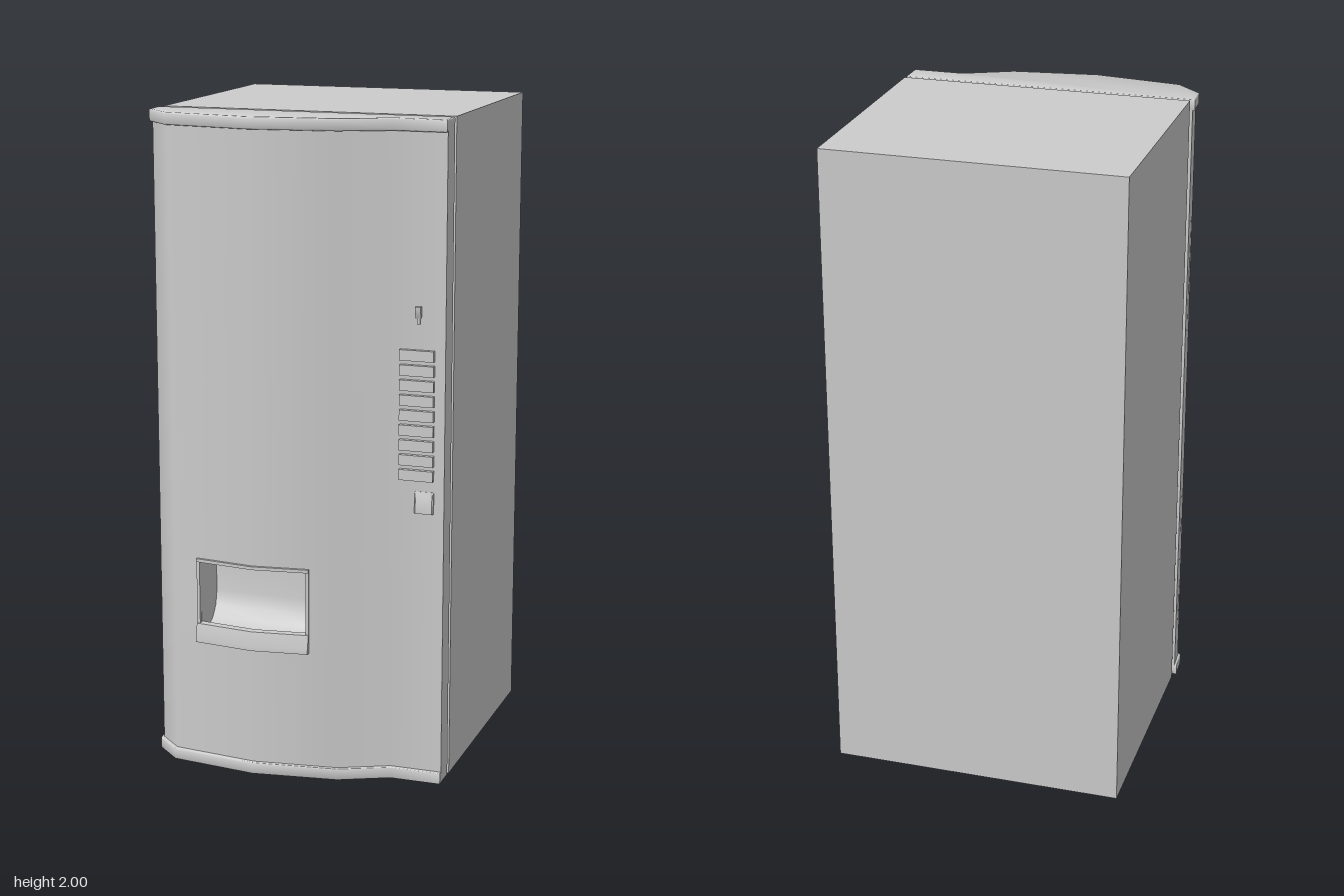
import * as THREE from 'three';
import { toCreasedNormals } from 'three/addons/utils/BufferGeometryUtils.js';

const grey = new THREE.MeshStandardMaterial({ color: 0xcccccc });
const greyBoth = new THREE.MeshStandardMaterial({ color: 0xcccccc, side: THREE.DoubleSide });

// door outline seen from above, as x and z
const DOOR = [[-0.452, 0.29], [-0.447, 0.36], [-0.374, 0.428], [-0.108, 0.461], [0.15, 0.428], [0.298, 0.36], [0.457, 0.36]];
const CAP = [[-0.459, 0.29], [-0.455, 0.366], [-0.378, 0.438], [-0.108, 0.473], [0.153, 0.438], [0.3, 0.37], [0.457, 0.37], [0.457, 0.29]];

function mesh(group, name, geometry, material = grey) {
  const m = new THREE.Mesh(geometry, material);
  m.name = name;
  group.add(m);
  return m;
}

function box(group, name, x0, x1, y0, y1, z0, z1) {
  const m = mesh(group, name, new THREE.BoxGeometry(x1 - x0, y1 - y0, z1 - z0));
  m.position.set((x0 + x1) / 2, (y0 + y1) / 2, (z0 + z1) / 2);
  return m;
}

// smoothed normal (x, z) of the door outline at each of its points
const edgeNormals = DOOR.slice(1).map(([x, z], i) =>
  new THREE.Vector2(DOOR[i][1] - z, x - DOOR[i][0]).normalize());
const pointNormals = DOOR.map((_, i) => {
  const a = edgeNormals[Math.max(i - 1, 0)];
  const b = edgeNormals[Math.min(i, edgeNormals.length - 1)];
  return a.clone().add(b).normalize();
});

// depth and normal of the door front at x
function doorAt(x) {
  let i = 0;
  while (i < DOOR.length - 2 && x > DOOR[i + 1][0]) i++;
  const t = (x - DOOR[i][0]) / (DOOR[i + 1][0] - DOOR[i][0]);
  const z = THREE.MathUtils.lerp(DOOR[i][1], DOOR[i + 1][1], t);
  return { z, n: pointNormals[i].clone().lerp(pointNormals[i + 1], t).normalize() };
}
const front = (x) => doorAt(x).z;

// smooth piece of the curved door front
function doorPanel(x0, x1, y0, y1) {
  const xs = [x0, ...DOOR.map((p) => p[0]).filter((x) => x > x0 && x < x1), x1];
  const pos = [], nor = [], idx = [];
  xs.forEach((x, i) => {
    const { z, n } = doorAt(x);
    pos.push(x, y0, z, x, y1, z);
    nor.push(n.x, 0, n.y, n.x, 0, n.y);
    const a = 2 * i;
    if (i < xs.length - 1) idx.push(a, a + 2, a + 3, a, a + 3, a + 1);
  });
  const g = new THREE.BufferGeometry();
  g.setAttribute('position', new THREE.Float32BufferAttribute(pos, 3));
  g.setAttribute('normal', new THREE.Float32BufferAttribute(nor, 3));
  g.setIndex(idx);
  return g;
}

// joins convex (y, z) sections along x and closes both ends
function sweep(xs, section, closed = true) {
  const rings = xs.map((x) => section(x).map(([y, z]) => [x, y, z]));
  const count = rings[0].length;
  const pos = [];
  const tri = (a, b, c) => pos.push(...a, ...b, ...c);
  for (let k = 0; k < rings.length - 1; k++) {
    const p = rings[k], q = rings[k + 1];
    for (let i = 0; i < (closed ? count : count - 1); i++) {
      const j = (i + 1) % count;
      tri(p[i], p[j], q[j]);
      tri(p[i], q[j], q[i]);
    }
  }
  const s = rings[0], e = rings[rings.length - 1];
  for (let i = 1; i < count - 1; i++) {
    tri(s[0], s[i + 1], s[i]);
    tri(e[0], e[i], e[i + 1]);
  }
  const g = new THREE.BufferGeometry();
  g.setAttribute('position', new THREE.Float32BufferAttribute(pos, 3));
  g.computeVertexNormals();
  return toCreasedNormals(g, 0.65);
}

// horizontal slab with the cap outline and softened edges
function capGeometry(height) {
  const bevel = 0.004;
  const shape = new THREE.Shape(CAP.map(([x, z]) => new THREE.Vector2(x, -z)));
  const g = new THREE.ExtrudeGeometry(shape, {
    depth: height - 2 * bevel, bevelEnabled: true, bevelSize: bevel,
    bevelThickness: bevel, bevelOffset: -bevel, bevelSegments: 2,
  });
  g.rotateX(-Math.PI / 2).translate(0, bevel, 0);
  return toCreasedNormals(g, 0.8);
}

export function createModel() {
  const model = new THREE.Group();
  model.name = 'vendingMachine';

  // cabinet and the recessed seal behind the door
  box(model, 'cabinet', -0.447, 0.457, 0, 2, -0.483, 0.273);
  box(model, 'doorSeal', -0.44, 0.45, 0.015, 1.985, 0.27, 0.292);

  // door skin around the delivery opening
  const door = new THREE.Group();
  door.name = 'door';
  model.add(door);
  const L = DOOR[0][0], R = 0.457, ox0 = -0.285, ox1 = 0.055, oy0 = 0.42, oy1 = 0.65;
  mesh(door, 'doorLower', doorPanel(L, R, 0.03, oy0));
  mesh(door, 'doorUpper', doorPanel(L, R, oy1, 1.97));
  mesh(door, 'doorBesideOpeningRight', doorPanel(L, ox0, oy0, oy1));
  mesh(door, 'doorBesideOpeningLeft', doorPanel(ox1, R, oy0, oy1));
  const edge = mesh(door, 'doorEdge', new THREE.PlaneGeometry(0.07, 1.98), greyBoth);
  edge.rotation.y = Math.PI / 2;
  edge.position.set(R, 1, 0.325);
  const back = mesh(door, 'doorBack', new THREE.PlaneGeometry(R - L, 1.98), greyBoth);
  back.position.set((L + R) / 2, 1, 0.2905);

  // top and bottom caps
  mesh(door, 'bottomCap', capGeometry(0.037));
  mesh(door, 'topCap', capGeometry(0.037)).position.y = 1.963;

  // delivery opening: hollow, lip and thin frame
  const tray = new THREE.Group();
  tray.name = 'deliveryTray';
  model.add(tray);
  const mid = -0.108;
  mesh(tray, 'trayHollow', sweep([ox0, mid, ox1], (x) => [
    [oy1, front(x)], [oy1, 0.305], [0.52, 0.305], [0.475, 0.315], [0.443, 0.34],
    [0.425, 0.375], [0.42, front(x) - 0.025], [0.455, front(x) - 0.015],
  ], false), greyBoth);
  const outer = [-0.295, mid, 0.065];
  mesh(tray, 'trayLip', sweep(outer, (x) => [
    [0.455, front(x) - 0.018], [0.455, front(x) + 0.008], [0.41, front(x) + 0.018],
    [0.398, front(x) + 0.018], [0.398, front(x) - 0.018],
  ]));
  const bar = (y0, y1, d) => (x) => [
    [y1, front(x) - 0.01], [y1, front(x) + d], [y0, front(x) + d], [y0, front(x) - 0.01],
  ];
  mesh(tray, 'frameTop', sweep(outer, bar(oy1, 0.66, 0.009)));
  mesh(tray, 'frameRight', sweep([-0.295, ox0], bar(0.45, oy1, 0.004)));
  mesh(tray, 'frameLeft', sweep([ox1, 0.065], bar(0.45, oy1, 0.004)));

  // column of selection buttons
  for (let i = 0; i < 9; i++) {
    const y = 0.942 + i * 0.0448;
    box(model, 'selectionButton', 0.321, 0.425, y, y + 0.032, 0.355, 0.374);
  }

  // coin slot: tapered block with a stem below
  mesh(model, 'coinSlot', sweep([0.367, 0.384], () => [
    [1.46, 0.355], [1.46, 0.374], [1.445, 0.373], [1.425, 0.364], [1.425, 0.355],
  ]));
  box(model, 'coinSlotStem', 0.371, 0.38, 1.408, 1.43, 0.355, 0.364);

  // coin return cup swelling out towards its lower edge
  mesh(model, 'coinReturn', sweep([0.368, 0.372, 0.422, 0.426], (x) => {
    const d = x > 0.37 && x < 0.424 ? 0.011 : 0.006;
    return [[0.908, 0.355], [0.908, 0.361], [0.885, 0.36 + d * 0.7], [0.855, 0.36 + d], [0.843, 0.36 + d], [0.843, 0.355]];
  }));

  return model;
}
